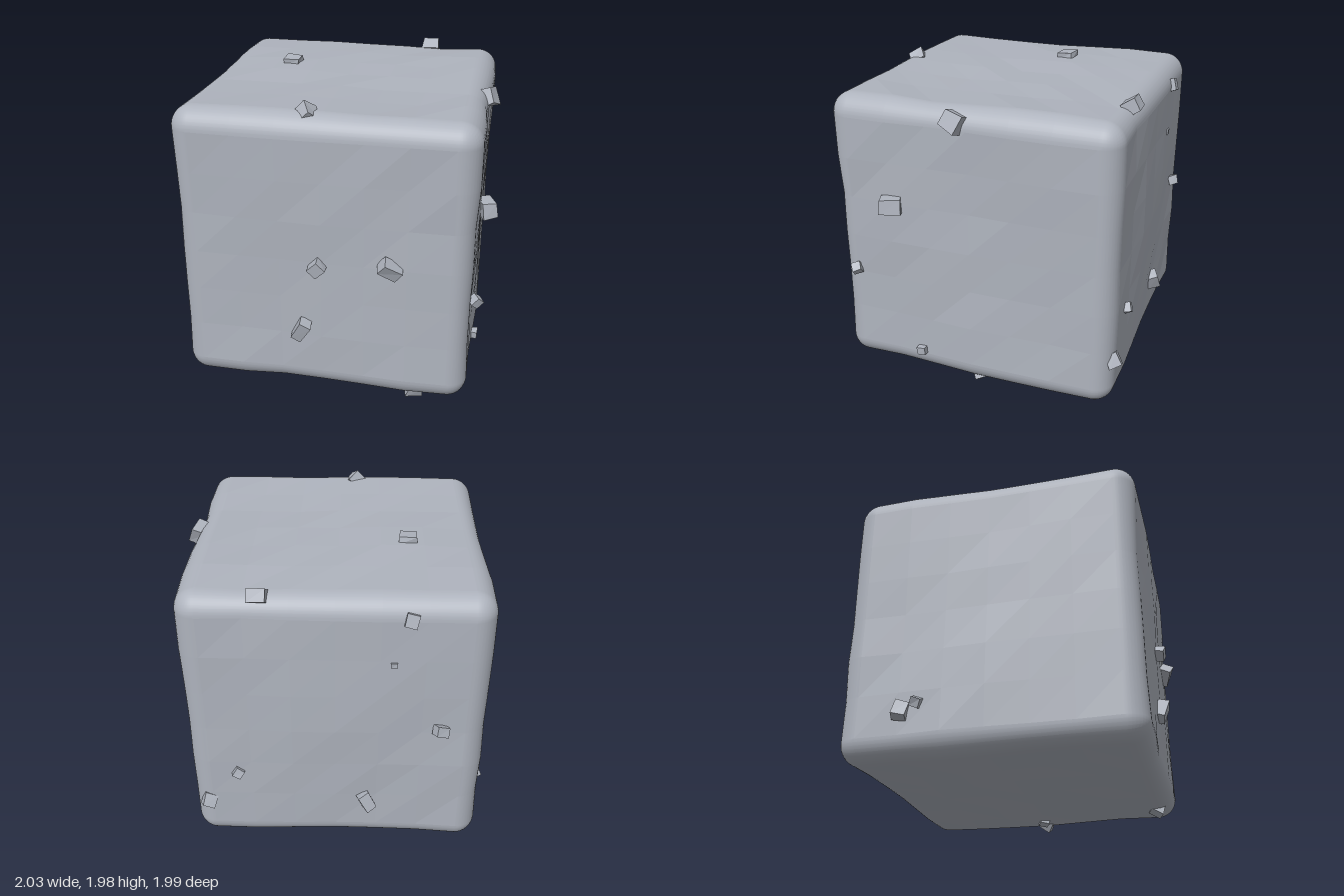
import * as THREE from 'three';

const stone = new THREE.MeshStandardMaterial({ color: 0xaeb3bd });
stone.name = 'grey stone';

// Repeatable hash in -1..1
function hash(a, b, c) {
  const s = Math.sin(a * 127.1 + b * 311.7 + c * 74.7) * 43758.5453;
  return (s - Math.floor(s)) * 2 - 1;
}

// Rounded block: broad facets on the faces, fine steps round the edges
function blockGeometry() {
  const half = 0.92, radius = 0.13, inner = half - radius, steps = 5, cells = 6;
  const lines = [];
  for (let i = 0; i < steps; i++) lines.push(-inner - radius * Math.tan((Math.PI / 4) * (1 - i / steps)));
  for (let i = 0; i <= cells; i++) lines.push(-inner + (2 * inner * i) / cells);
  for (let i = steps - 1; i >= 0; i--) lines.push(-lines[i]);
  const n = lines.length - 1;
  const indexed = new THREE.BoxGeometry(n, n, n, n, n, n);
  const pos = indexed.attributes.position;
  const p = new THREE.Vector3(), core = new THREE.Vector3(), dir = new THREE.Vector3();
  const limit = new THREE.Vector3(inner, inner, inner), low = limit.clone().negate();
  for (let i = 0; i < pos.count; i++) {
    p.fromBufferAttribute(pos, i);
    p.set(...p.toArray().map(v => lines[Math.round(v + n / 2)]));
    core.copy(p).clamp(low, limit);
    dir.copy(p).sub(core).normalize();
    // Gentle swell plus a small uneven step at each facet corner
    const swell = 0.007 * Math.sin(p.x * 4.1 + p.y * 2.3 + 1) + 0.006 * Math.sin(p.z * 4.7 - p.y * 3.1);
    const q = core.toArray().map(v => Math.round(v * 100));
    const rough = 0.006 * hash(q[0], q[1], q[2]);
    p.copy(core).addScaledVector(dir, radius + swell + rough);
    pos.setXYZ(i, p.x, p.y, p.z);
  }
  const geo = indexed.toNonIndexed();
  // Flat facets on the faces, rounded normals on the edges
  indexed.computeVertexNormals();
  geo.computeVertexNormals();
  const out = geo.attributes.position, normal = geo.attributes.normal;
  for (let i = 0; i < out.count; i++) {
    p.fromBufferAttribute(out, i);
    core.copy(p).clamp(low, limit);
    dir.copy(p).sub(core).normalize();
    if (Math.max(Math.abs(dir.x), Math.abs(dir.y), Math.abs(dir.z)) < 0.995) {
      core.fromBufferAttribute(normal, i).lerp(dir, 0.75).normalize();
      normal.setXYZ(i, core.x, core.y, core.z);
    }
  }
  return geo;
}

// Small chip with slightly uneven corners
function chipGeometry(w, h, d, seed) {
  const geo = new THREE.BoxGeometry(w, h, d);
  const pos = geo.attributes.position;
  for (let i = 0; i < pos.count; i++) {
    const v = [pos.getX(i), pos.getY(i), pos.getZ(i)];
    const k = v.map(Math.sign);
    const corner = k[0] + 3 * k[1] + 9 * k[2];
    pos.setXYZ(i, ...v.map((c, axis) => c * (1 + 0.13 * hash(corner, seed, axis))));
  }
  const flat = geo.toNonIndexed();
  flat.computeVertexNormals();
  return flat;
}

// Each chip: position, size, rotation
const chips = {
  frontChip: [
    [[-0.03, 0.96, 0.93], [0.085, 0.085, 0.08], [0.15, 0, 0.78]],
    [[0.42, 1.0, 0.93], [0.12, 0.08, 0.08], [0.4, 0.1, -0.65]],
    [[-0.14, 0.5, 0.93], [0.075, 0.14, 0.08], [0.25, 0, -0.5]],
  ],
  topChip: [
    [[-0.1, 1.89, 0.8], [0.09, 0.09, 0.1], [0.5, 0.4, 0.7]],
    [[-0.44, 1.92, -0.18], [0.11, 0.05, 0.11], [0.1, -0.1, 0]],
    [[0.43, 1.89, -0.86], [0.11, 0.08, 0.09], [0.6, 0, 0]],
  ],
  leftChip: [
    [[0.9, 1.82, 0.07], [0.09, 0.11, 0.12], [-0.3, -0.25, 0.35]],
    [[0.95, 1.25, 0.49], [0.09, 0.1, 0.13], [0, 0.4, 0.1]],
    [[0.93, 0.75, 0.78], [0.06, 0.06, 0.06], [0.3, 0.5, 0.7]],
    [[0.92, 0.22, 0.34], [0.05, 0.05, 0.055], [0.1, 0, 0]],
  ],
  rightChip: [
    [[-0.95, 0.33, -0.51], [0.07, 0.1, 0.08], [0.2, 0.2, -0.4]],
    [[-0.94, 0.38, -0.42], [0.05, 0.06, 0.06], [0.4, 0, 0.4]],
  ],
  bottomChip: [
    [[0.57, 0.06, 0.8], [0.1, 0.07, 0.09], [0.4, 0.3, -0.2]],
    [[0.8, 0.06, -0.03], [0.08, 0.08, 0.08], [0.5, 0.2, 0.4]],
    [[0.69, 0.055, -0.03], [0.07, 0.05, 0.06], [0.2, 0.4, -0.2]],
  ],
  backChip: [
    [[-0.44, 1.78, -0.92], [0.07, 0.08, 0.07], [0.3, 0, 0.2]],
    [[-0.35, 1.48, -0.925], [0.04, 0.035, 0.03], [0, 0, 0]],
    [[-0.65, 1.01, -0.94], [0.08, 0.065, 0.07], [0.3, 0.4, 0.2]],
    [[0.6, 0.64, -0.94], [0.06, 0.06, 0.05], [0.3, 0.2, 0.6]],
    [[-0.21, 0.41, -0.93], [0.08, 0.12, 0.08], [0.3, 0.3, -0.5]],
    [[0.81, 0.38, -0.92], [0.08, 0.09, 0.08], [0.5, 0.3, 0.3]],
  ],
};

export function createModel() {
  const model = new THREE.Group();
  model.name = 'stoneBlock';

  const block = new THREE.Mesh(blockGeometry(), stone);
  block.name = 'block';
  block.position.set(-0.01, 0.98, -0.005);
  model.add(block);

  let seed = 1;
  for (const [name, list] of Object.entries(chips)) {
    for (const [position, size, rotation] of list) {
      const chip = new THREE.Mesh(chipGeometry(...size, seed++), stone);
      chip.name = name;
      chip.position.set(...position);
      chip.rotation.set(...rotation);
      model.add(chip);
    }
  }
  return model;
}
